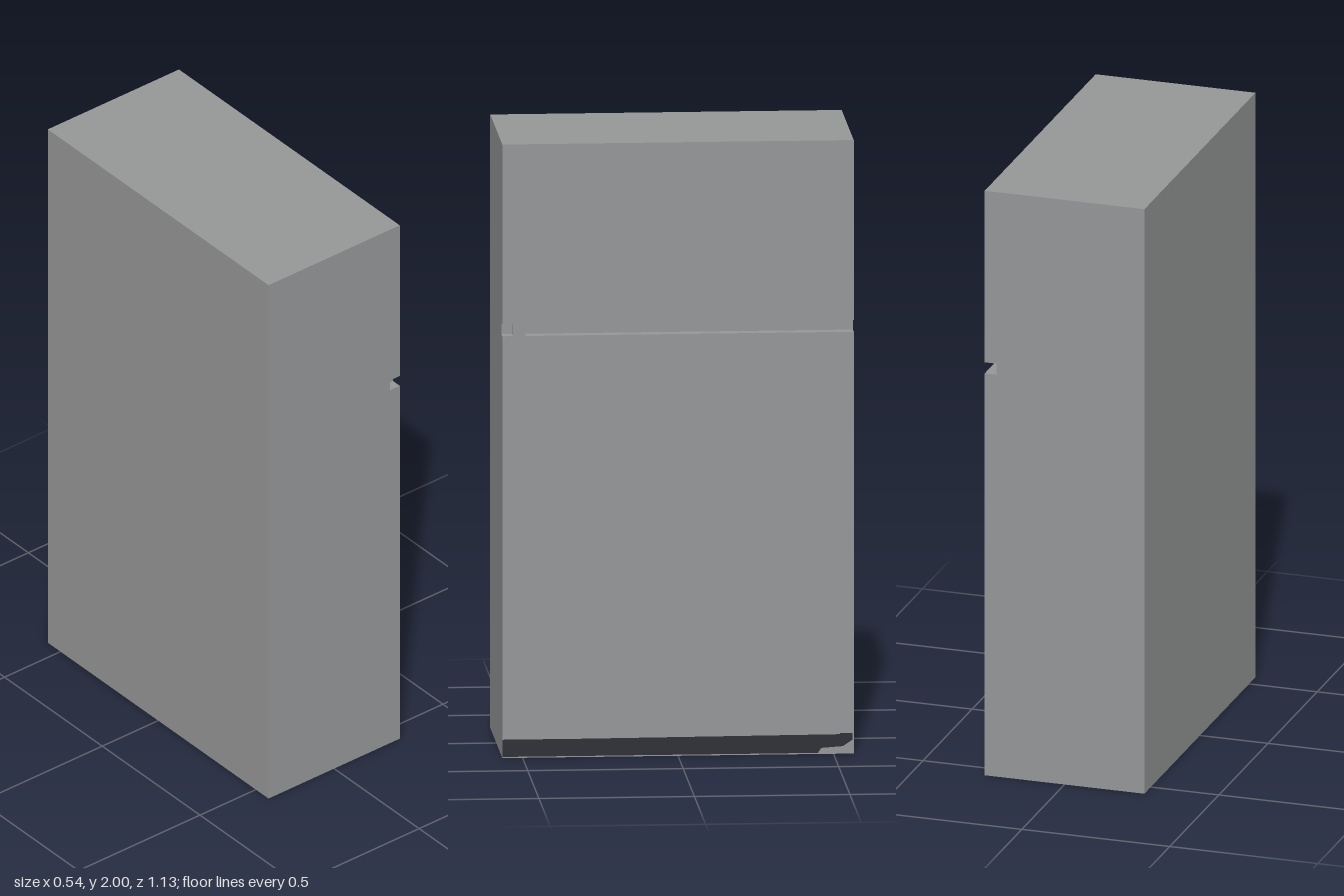
import * as THREE from 'three';

const W = 0.54, H = 2, D = 1.13;            // overall size
const G0 = 1.375, G1 = 1.413, DEPTH = 0.04; // groove bottom, top and depth

export function createModel() {
  const group = new THREE.Group();
  const grey = new THREE.MeshStandardMaterial({ color: 0x959697 });
  grey.name = 'panel grey';
  const dark = new THREE.MeshStandardMaterial({ color: 0x2d2c35, side: THREE.DoubleSide });
  dark.name = 'kick strip dark';

  const add = (name, geometry, material) => {
    const mesh = new THREE.Mesh(geometry, material);
    mesh.name = name;
    group.add(mesh);
    return mesh;
  };
  const outline = (points) => new THREE.Shape(points.map(([x, y]) => new THREE.Vector2(x, y)));

  // Cabinet: rectangle with a finger groove cut in its +x side, run along the depth
  const x = W / 2;
  const profile = outline([
    [-x, 0], [x, 0], [x, G0], [x - DEPTH, G0], [x - DEPTH, G1], [x, G1], [x, H], [-x, H],
  ]);
  const body = new THREE.ExtrudeGeometry(profile, { depth: D, bevelEnabled: false });
  body.translate(0, 0, -D / 2);
  add('cabinet', body, grey);

  // Small bridge that interrupts the groove near the front
  add('grooveBridge', new THREE.BoxGeometry(DEPTH, G1 - G0, 0.04), grey)
    .position.set(x - DEPTH / 2, (G0 + G1) / 2, 0.51);

  // Thin dark strip along the foot of the grooved side; shape x becomes -z
  const strip = new THREE.ShapeGeometry(outline([
    [-0.565, 0.004], [0.45, 0.004], [0.46, 0.02], [0.53, 0.025], [0.56, 0.045],
    [0.56, 0.068], [0.52, 0.068], [0.52, 0.064], [-0.3, 0.06], [-0.565, 0.06],
  ]));
  strip.rotateY(Math.PI / 2);
  add('kickStrip', strip, dark).position.x = x + 0.002;

  return group;
}
